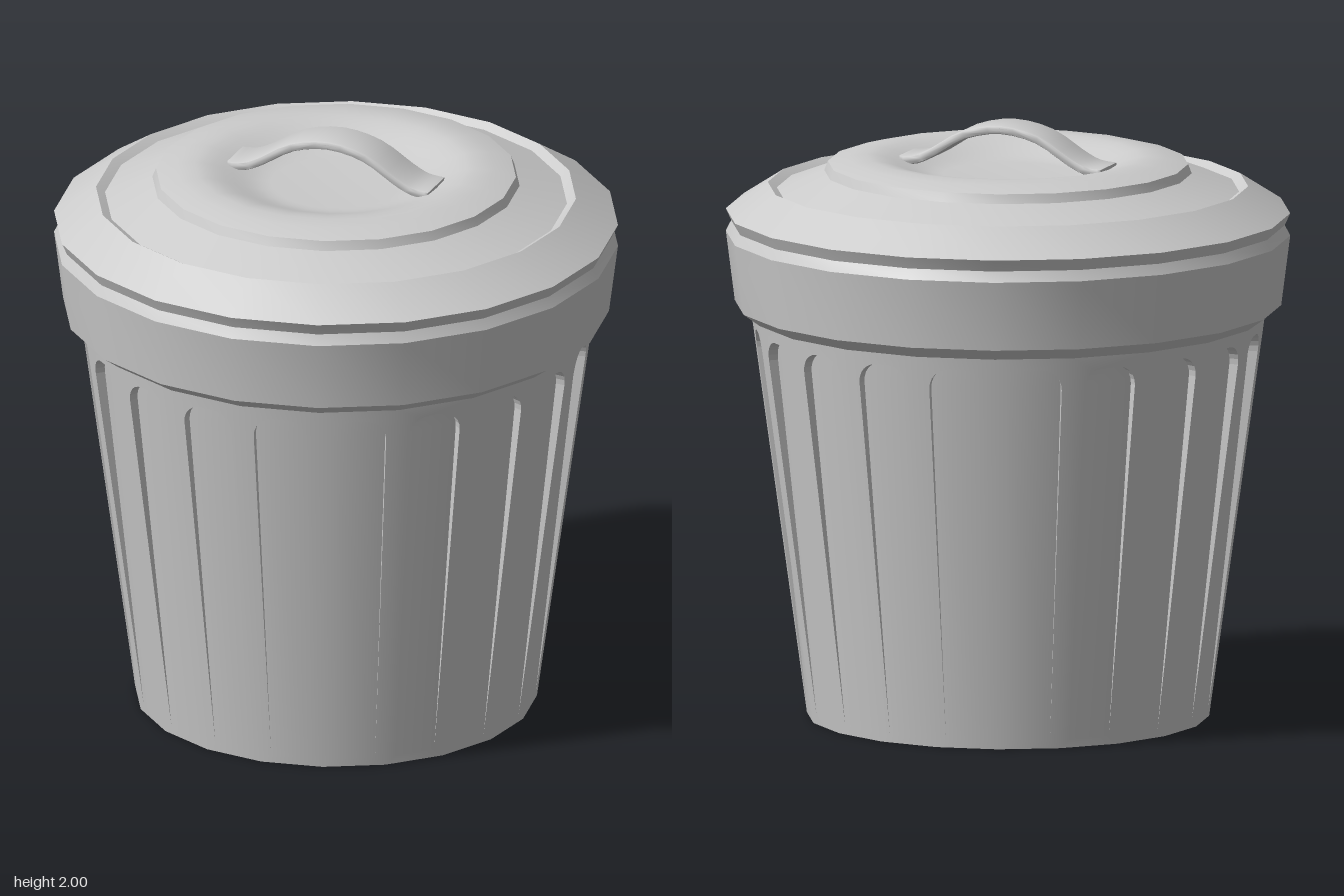
import * as THREE from 'three';
import { mergeGeometries, toCreasedNormals } from 'three/addons/utils/BufferGeometryUtils.js';

const SIDES = 20;
const HALF = Math.PI / SIDES;
const BODY_TOP = 1.35, R_BOTTOM = 0.67, R_TOP = 0.855;
const FLUTE_LOW = 0.03, FLUTE_HIGH = 1.31, FLUTE_DEPTH = 0.035;

const material = new THREE.MeshStandardMaterial({ color: 0xcccccc });
const bodyRadius = y => R_BOTTOM + (R_TOP - R_BOTTOM) * y / BODY_TOP;
const fluteDepth = y => FLUTE_DEPTH * (y - FLUTE_LOW) / (FLUTE_HIGH - FLUTE_LOW);

function addMesh(group, name, geometry) {
  const mesh = new THREE.Mesh(geometry, material);
  mesh.name = name;
  group.add(mesh);
}

// Faceted ring of revolution with crisp profile edges
function turned(profile) {
  const points = profile.map(([r, y]) => new THREE.Vector2(r, y));
  return toCreasedNormals(new THREE.LatheGeometry(points, SIDES), 0.4);
}

// Point on one side of the body: u across, y up, d inwards
function onSide(angle, u, y, d) {
  const r = bodyRadius(y) * Math.cos(HALF) - d;
  return new THREE.Vector3(
    r * Math.sin(angle) + u * Math.cos(angle), y,
    r * Math.cos(angle) - u * Math.sin(angle));
}

// Lay a flat shape on a side, with normals that run smoothly round the body
function sidePanel(shape, angle, depthAt) {
  const geo = new THREE.ShapeGeometry(shape, 6).toNonIndexed();
  geo.deleteAttribute('uv');
  const pos = geo.attributes.position, normal = geo.attributes.normal;
  const slope = (R_BOTTOM - R_TOP) / BODY_TOP;
  for (let i = 0; i < pos.count; i++) {
    const y = pos.getY(i);
    const p = onSide(angle, pos.getX(i), y, depthAt(y));
    pos.setXYZ(i, p.x, p.y, p.z);
    const n = new THREE.Vector3(p.x, 0, p.z).normalize().setY(slope).normalize();
    normal.setXYZ(i, n.x, n.y, n.z);
  }
  return geo;
}

// Walls that join the flute's edge to its sunken floor
function fluteWalls(outline, angle) {
  const corners = [];
  outline.forEach((p, i) => {
    const q = outline[(i + 1) % outline.length];
    if (p.distanceTo(q) < 1e-5 || fluteDepth(p.y) + fluteDepth(q.y) < 1e-5) return;
    const p0 = onSide(angle, p.x, p.y, 0), q0 = onSide(angle, q.x, q.y, 0);
    const p1 = onSide(angle, p.x, p.y, fluteDepth(p.y));
    const q1 = onSide(angle, q.x, q.y, fluteDepth(q.y));
    corners.push(p0, q0, q1, p0, q1, p1);
  });
  const geo = new THREE.BufferGeometry().setFromPoints(corners);
  geo.computeVertexNormals();
  return geo;
}

// Tapered body with a round-topped flute sunk in every side
function bodyGeometry() {
  const wb = R_BOTTOM * Math.sin(HALF), wt = R_TOP * Math.sin(HALF);
  const side = new THREE.Shape([[-wb, 0], [wb, 0], [wt, BODY_TOP], [-wt, BODY_TOP]]
    .map(([x, y]) => new THREE.Vector2(x, y)));

  const low = 0.07, high = 0.092, corner = 0.07;
  const flute = new THREE.Shape();
  flute.moveTo(-low, FLUTE_LOW);
  flute.lineTo(low, FLUTE_LOW);
  flute.lineTo(high, FLUTE_HIGH - corner);
  flute.bezierCurveTo(high, FLUTE_HIGH - 0.03, high - 0.03, FLUTE_HIGH, high - corner, FLUTE_HIGH);
  flute.lineTo(corner - high, FLUTE_HIGH);
  flute.bezierCurveTo(0.03 - high, FLUTE_HIGH, -high, FLUTE_HIGH - 0.03, -high, FLUTE_HIGH - corner);
  flute.closePath();
  side.holes.push(flute);

  const outline = flute.getPoints(6);
  const parts = [];
  for (let i = 0; i < SIDES; i++) {
    const angle = (2 * i + 1) * HALF;
    parts.push(sidePanel(side, angle, () => 0));
    parts.push(sidePanel(flute, angle, fluteDepth));
    parts.push(fluteWalls(outline, angle));
  }
  return mergeGeometries(parts);
}

// Arched strap handle with softened edges and flared feet
function handleGeometry() {
  const half = [[-0.36, 1.86], [-0.30, 1.867], [-0.24, 1.895], [-0.13, 1.96]];
  const path = [...half, [0, 1.985], ...half.map(([x, y]) => [-x, y]).reverse()];
  const curve = new THREE.SplineCurve(path.map(([x, y]) => new THREE.Vector2(x, y)));
  const top = [], under = [], steps = 24, t = 0.015;
  for (let i = 0; i <= steps; i++) {
    const p = curve.getPoint(i / steps), d = curve.getTangent(i / steps);
    top.push(new THREE.Vector2(p.x - d.y * t, p.y + d.x * t));
    under.push(new THREE.Vector2(p.x + d.y * t, p.y - d.x * t));
  }
  const bevel = 0.01, width = 0.154;
  const geo = new THREE.ExtrudeGeometry(new THREE.Shape([...under, ...top.reverse()]), {
    depth: width - 2 * bevel, bevelEnabled: true, bevelSize: bevel,
    bevelThickness: bevel, bevelOffset: -bevel, bevelSegments: 2,
  });
  geo.translate(0, 0, bevel - width / 2);
  return toCreasedNormals(geo, 0.7);
}

export function createModel() {
  const group = new THREE.Group();
  group.name = 'trashCan';

  addMesh(group, 'body', bodyGeometry());

  const base = new THREE.CircleGeometry(R_BOTTOM, SIDES);
  base.rotateX(Math.PI / 2);
  addMesh(group, 'base', base);

  addMesh(group, 'collar', turned([
    [R_TOP, BODY_TOP], [0.91, 1.39], [0.94, 1.625], [0.922, 1.66],
  ]));

  // Lid: overhanging edge, groove, raised step and a dished centre
  const lid = [
    [0.922, 1.66], [0.94, 1.70], [0.80, 1.79], [0.77, 1.772],
    [0.612, 1.832], [0.60, 1.863], [0.53, 1.882], [0.47, 1.888],
  ];
  for (let i = 1; i <= 8; i++) {
    const s = i / 8;
    lid.push([0.47 - 0.25 * s, 1.888 - 0.063 * s * s * (3 - 2 * s)]);
  }
  lid.push([0, 1.825]);
  addMesh(group, 'lid', turned(lid));

  addMesh(group, 'handle', handleGeometry());
  return group;
}
